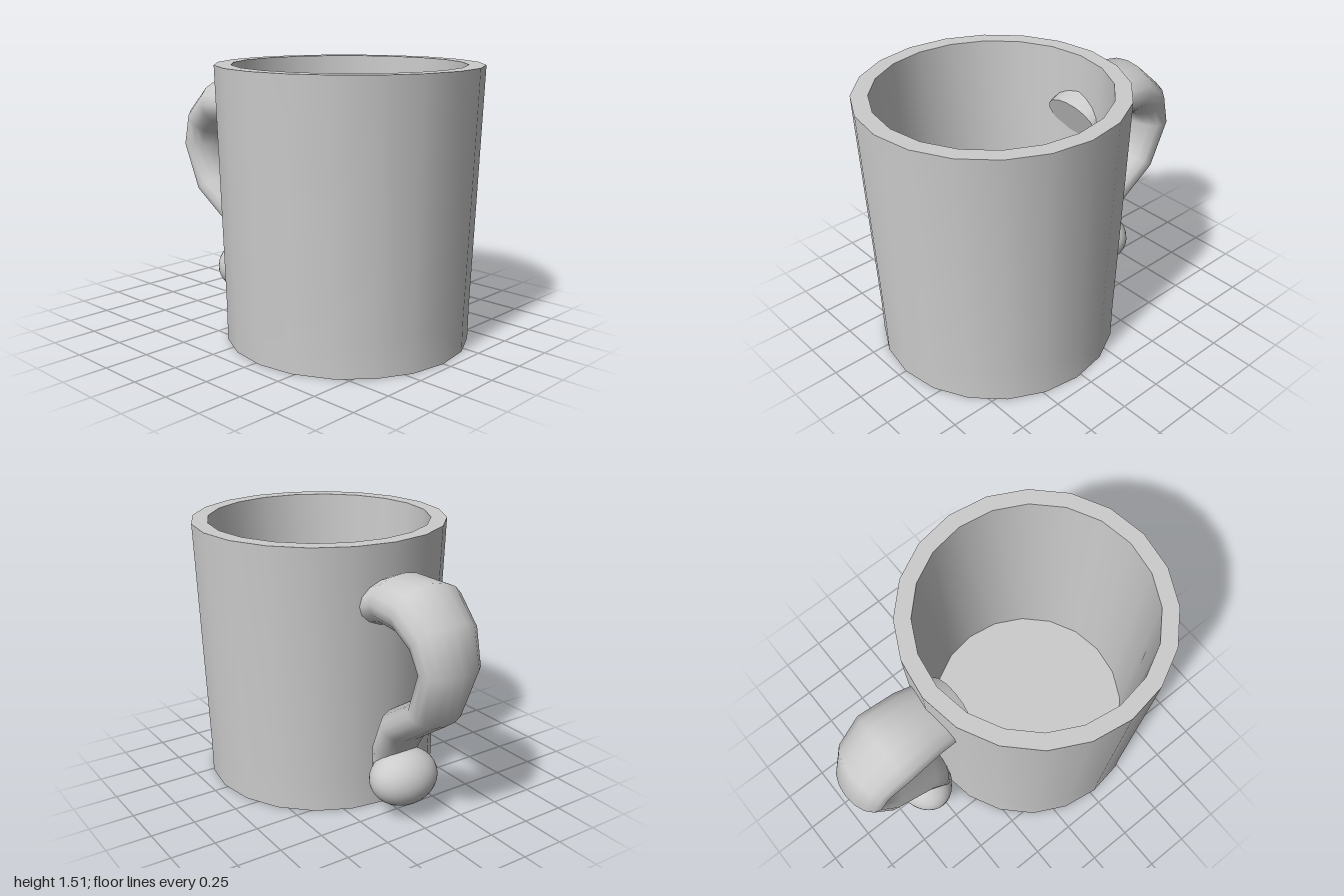
import * as THREE from 'three';
import { toCreasedNormals } from 'three/addons/utils/BufferGeometryUtils.js';

const SIDES = 16;

// Closed tube through elliptical sections lying across the x = 0 plane.
// Each section: [outer z, outer y, inner z, inner y, half width in x]
function sectionTube(sections) {
  const pos = [], idx = [];
  for (const [zo, yo, zi, yi, w] of sections) {
    for (let j = 0; j < SIDES; j++) {
      const a = (j / SIDES) * Math.PI * 2, c = Math.cos(a) / 2;
      pos.push(w * Math.sin(a), (yo + yi) / 2 + (yo - yi) * c, (zo + zi) / 2 + (zo - zi) * c);
    }
  }
  const last = (sections.length - 1) * SIDES;
  for (let s = 0; s < last; s += SIDES) {
    for (let j = 0; j < SIDES; j++) {
      const k = (j + 1) % SIDES;
      idx.push(s + j, s + k, s + SIDES + j, s + k, s + SIDES + k, s + SIDES + j);
    }
  }
  // flat end caps
  for (let j = 1; j < SIDES - 1; j++) {
    idx.push(0, j + 1, j, last, last + j, last + j + 1);
  }
  const g = new THREE.BufferGeometry();
  g.setAttribute('position', new THREE.Float32BufferAttribute(pos, 3));
  g.setIndex(idx);
  return toCreasedNormals(g, 1.1);
}

export function createModel() {
  const model = new THREE.Group();
  const material = new THREE.MeshStandardMaterial({ color: 0xcccccc });
  const add = (name, geometry) => {
    const mesh = new THREE.Mesh(geometry, material);
    mesh.name = name;
    model.add(mesh);
    return mesh;
  };

  // Tapered cup with a thick wall and floor
  const profile = [
    [0, 0], [0.673, 0], [0.675, 0.18], [0.72, 1.51],
    [0.63, 1.51], [0.587, 0.18], [0, 0.18],
  ].map(([r, y]) => new THREE.Vector2(r, y));
  add('cup', toCreasedNormals(new THREE.LatheGeometry(profile, 20), 0.6)).position.z = 0.28;

  // Hooked handle, its upper end poking through the wall
  add('handle', sectionTube([
    [-0.25, 1.255, -0.33, 1.04, 0.18],
    [-0.51, 1.365, -0.49, 1.09, 0.205],
    [-0.74, 1.365, -0.67, 1.085, 0.222],
    [-0.925, 1.2, -0.755, 1.03, 0.2],
    [-1.0, 0.96, -0.79, 0.96, 0.18],
    [-0.885, 0.655, -0.715, 0.77, 0.165],
    [-0.635, 0.48, -0.485, 0.62, 0.16],
    [-0.57, 0.39, -0.4, 0.42, 0.15],
    [-0.48, 0.2, -0.385, 0.25, 0.12],
  ]));

  // Rounded knob at the foot of the handle
  const knob = add('handleKnob', new THREE.SphereGeometry(0.16, 32, 20));
  knob.scale.x = 1.25;
  knob.position.set(0, 0.23, -0.55);

  return model;
}
